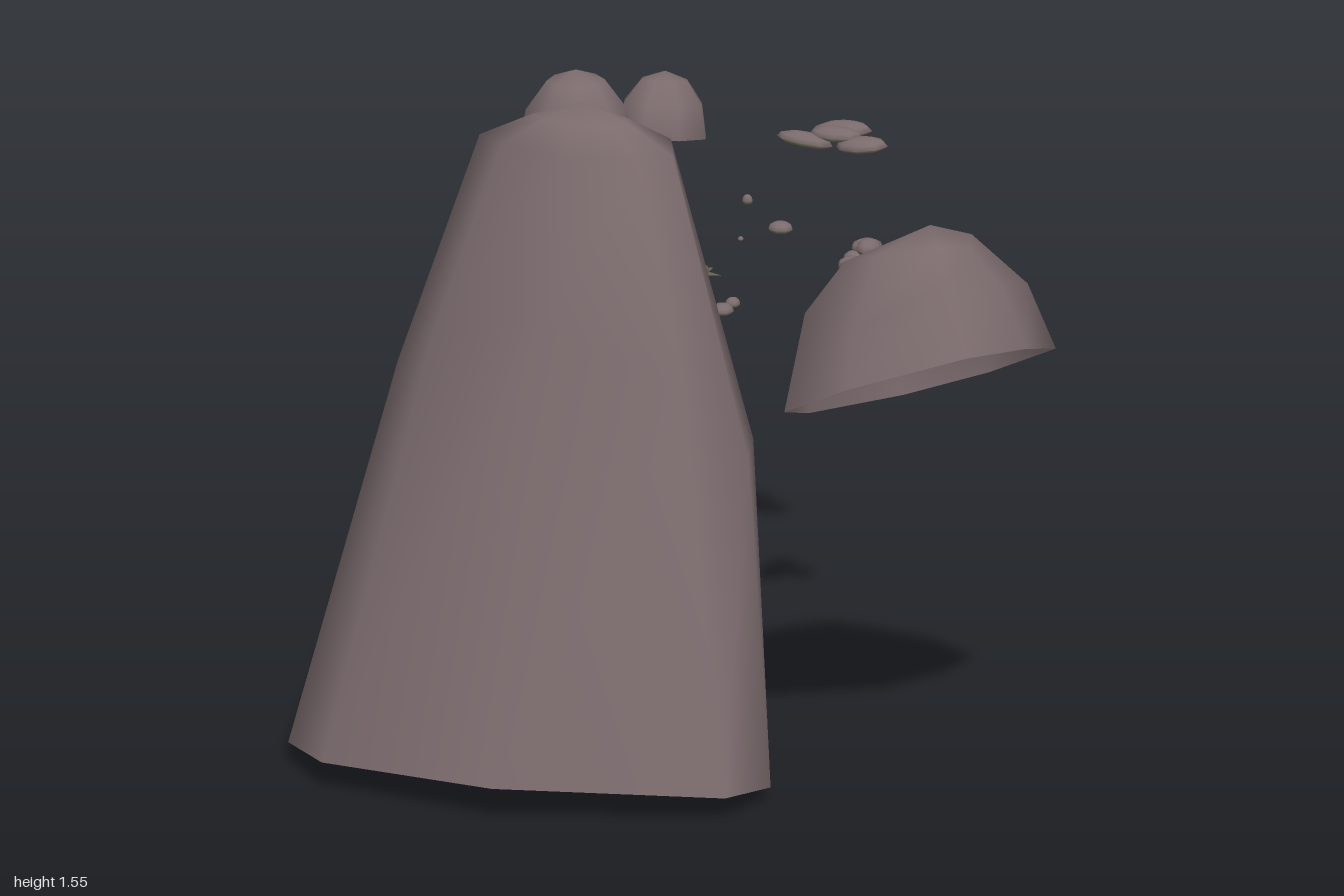
import * as THREE from 'three';

const rock = new THREE.MeshStandardMaterial({ color: 0x7b6b6d, side: THREE.DoubleSide });
rock.name = 'mauve rock';
const moss = new THREE.MeshStandardMaterial({ color: 0x66644f, side: THREE.DoubleSide });
moss.name = 'olive moss';

// Open-bottomed shell: rings of points from the rim upwards, closed by an apex
function shell(rings, apex) {
  const n = rings[0].length, index = [];
  const points = [...rings.flat(), apex];
  for (let r = 0; r < rings.length; r++) {
    for (let i = 0; i < n; i++) {
      const a = r * n + i, b = r * n + (i + 1) % n;
      if (r === rings.length - 1) index.push(a, b, points.length - 1);
      else index.push(a, b, b + n, a, b + n, a + n);
    }
  }
  const g = new THREE.BufferGeometry();
  g.setAttribute('position', new THREE.Float32BufferAttribute(points.flat(), 3));
  g.setIndex(index);
  g.computeVertexNormals();
  return g;
}

export function createModel() {
  const model = new THREE.Group();
  model.name = 'rockFormation';

  function add(name, geometry, material, pos = [0, 0, 0], scale = [1, 1, 1], rot = [0, 0, 0], parent = model) {
    const m = new THREE.Mesh(geometry, material);
    m.name = name;
    m.position.set(...pos);
    m.scale.set(...scale);
    m.rotation.set(...rot);
    parent.add(m);
    return m;
  }

  // Tall leaning boulder
  const base = [[-0.82, 0.70], [-0.66, 0.90], [-0.20, 1.0], [0.31, 0.82], [0.35, 0.63], [0.21, 0.44], [-0.20, 0.34], [-0.66, 0.50]]
    .map(([x, z]) => [x, 0.106 * (z - 0.34), z]);
  const waist = [[-0.62, 0.93, 0.51], [-0.50, 1.02, 0.61], [-0.20, 1.10, 0.67], [0.13, 0.95, 0.61],
    [0.245, 0.78, 0.50], [0.20, 0.78, 0.35], [-0.22, 0.82, 0.27], [-0.50, 0.86, 0.33]];
  const shoulder = [[-0.46, 1.46, 0.40], [-0.38, 1.46, 0.47], [-0.21, 1.46, 0.51], [-0.04, 1.46, 0.47],
    [0.02, 1.455, 0.40], [-0.02, 1.47, 0.31], [-0.21, 1.49, 0.275], [-0.40, 1.47, 0.31]];
  const peak = [-0.22, 1.55, 0.35];
  const crown = shoulder.map(p => [(p[0] + peak[0]) / 2, 1.515, (p[2] + peak[2]) / 2]);
  add('tallBoulder', shell([base, waist, shoulder, crown], peak), rock);

  // Tilted round boulder
  const rim = [[0.28, 0.20], [0.43, -0.02], [0.62, -0.08], [0.82, 0.01], [0.82, 0.20], [0.74, 0.38], [0.48, 0.47], [0.29, 0.385]]
    .map(([x, z]) => [x, 0.81 + 0.39 * (x - 0.28) + 0.265 * (z - 0.20), z]);
  const belly = [[0.265, 0.98, 0.15], [0.39, 1.03, 0.0], [0.58, 1.06, -0.07], [0.75, 1.12, 0.01],
    [0.755, 1.17, 0.20], [0.68, 1.2, 0.33], [0.48, 1.10, 0.44], [0.32, 1.09, 0.33]];
  const top = [[0.36, 1.18, 0.20], [0.43, 1.20, 0.10], [0.52, 1.21, 0.02], [0.63, 1.24, 0.06],
    [0.68, 1.25, 0.20], [0.64, 1.27, 0.29], [0.50, 1.25, 0.33], [0.40, 1.21, 0.28]];
  add('roundBoulder', shell([rim, belly, top].map(r => r.reverse()), [0.60, 1.31, 0.25]), rock);

  // Three far domes
  const dome = new THREE.SphereGeometry(1, 8, 3, 0, Math.PI * 2, 0, Math.PI / 2);
  const domes = [
    [[-0.645, 1.11, -0.71], [0.135, 0.19, 0.125], [0.03, 0.4, 0]],
    [[-0.50, 1.11, -0.88], [0.11, 0.15, 0.125], [-0.18, 0, 0]],
    [[-0.68, 1.11, -0.90], [0.06, 0.085, 0.065], [-0.05, 0.2, 0.05]],
  ];
  for (const d of domes) add('farDome', dome, rock, ...d);

  // Small flat stones: rock above, moss beneath
  const under = new THREE.SphereGeometry(1, 8, 2, 0, Math.PI * 2, Math.PI / 2, Math.PI / 2);
  function stones(name, list) {
    const g = new THREE.Group();
    g.name = name;
    model.add(g);
    for (const [x, y, z, rx, ry, rz, tilt = 0] of list) {
      add('stoneTop', dome, rock, [x, y, z], [rx, ry, rz], [tilt, 0, tilt], g);
      add('stoneUnderside', under, moss, [x, y, z], [rx, ry * 0.6, rz], [tilt, 0, tilt], g);
    }
  }
  stones('farFlatStones', [
    [-0.07, 1.15, -0.93, 0.075, 0.025, 0.035, 0.1], [-0.14, 1.135, -0.87, 0.07, 0.022, 0.035, -0.1],
    [0.0, 1.135, -0.875, 0.065, 0.022, 0.038, 0.1], [-0.07, 1.15, -0.89, 0.065, 0.022, 0.035],
  ]);
  stones('sideStones', [
    [0.145, 1.0, -0.53, 0.038, 0.02, 0.04], [0.195, 0.975, -0.50, 0.035, 0.03, 0.035],
    [0.135, 0.975, -0.46, 0.035, 0.02, 0.035], [0.125, 0.975, -0.505, 0.03, 0.022, 0.03],
    [0.16, 1.005, -0.50, 0.03, 0.025, 0.035],
  ]);
  stones('middleStones', [
    [-0.405, 1.0, -0.51, 0.022, 0.016, 0.02], [-0.385, 1.005, -0.50, 0.022, 0.016, 0.022], [-0.39, 0.995, -0.48, 0.015, 0.012, 0.015],
  ]);
  stones('nearPebbles', [
    [-0.008, 0.975, 0.005, 0.026, 0.018, 0.03], [0.005, 0.985, -0.025, 0.018, 0.016, 0.02], [-0.02, 0.975, -0.01, 0.015, 0.014, 0.015],
  ]);
  stones('loosePebbles', [
    [-0.135, 0.97, -0.70, 0.03, 0.018, 0.028], [-0.24, 1.01, -0.76, 0.013, 0.016, 0.011],
    [-0.165, 0.99, -0.52, 0.007, 0.007, 0.007], [-0.37, 0.98, -0.12, 0.009, 0.02, 0.012],
  ]);

  // Moss star with pebbles beside it
  const star = new THREE.Shape();
  for (let i = 0; i < 12; i++) {
    const r = i % 2 ? 0.03 : 0.06, a = i * Math.PI / 6;
    star[i ? 'lineTo' : 'moveTo'](r * Math.cos(a), r * Math.sin(a));
  }
  add('mossStar', new THREE.ShapeGeometry(star), moss, [-0.13, 1.015, -0.145], [1, 1, 1], [-Math.PI / 2, 0.1, 0.2]);
  add('mossTuft', dome, moss, [-0.13, 1.015, -0.145], [0.03, 0.022, 0.035]);
  stones('starPebbles', [[-0.165, 1.01, -0.16, 0.022, 0.018, 0.02], [-0.165, 1.01, -0.125, 0.022, 0.018, 0.02]]);

  // Slim tapered spikes, one standing and one fallen
  const spike = new THREE.CylinderGeometry(0.010, 0.031, 1, 7, 1);
  add('standingSpike', spike, rock, [-0.52, 1.15, -0.188], [1, 0.22, 1], [-0.07, 0, -0.14]);
  add('fallenSpike', spike, rock, [-0.412, 0.965, -0.31], [0.8, 0.12, 0.8], [-1.27, 0, 0]);

  return model;
}
